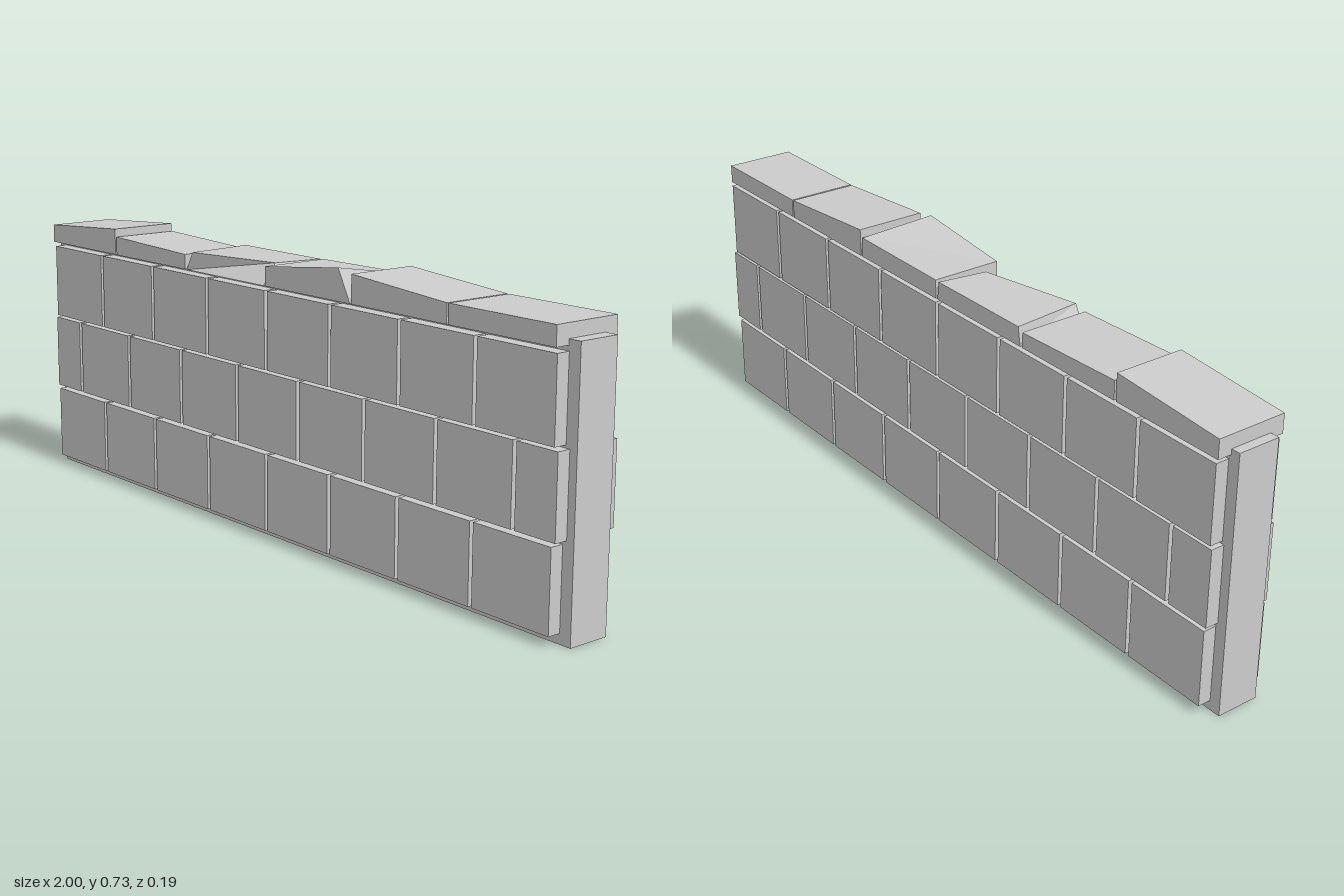
import * as THREE from 'three';

const material = new THREE.MeshStandardMaterial({ color: 0xcccccc, flatShading: true });

function addBox(parent, name, x0, x1, y0, y1, depth) {
  const mesh = new THREE.Mesh(new THREE.BoxGeometry(x1 - x0, y1 - y0, depth), material);
  mesh.position.set((x0 + x1) / 2, (y0 + y1) / 2, 0);
  mesh.name = name;
  parent.add(mesh);
}

const CAP_BASE = 0.651, CAP_Z = 0.093;

// A coping block whose four top corners can each be moved.
// Corners are [x, y, z] in the order: front left, front right, back left, back right.
function addCapStone(parent, x0, x1, corners) {
  const g = new THREE.BoxGeometry(2, 2, 2).toNonIndexed();
  const p = g.attributes.position;
  for (let i = 0; i < p.count; i++) {
    const right = p.getX(i) > 0, top = p.getY(i) > 0, front = p.getZ(i) > 0;
    if (top) p.setXYZ(i, ...corners[(front ? 0 : 2) + (right ? 1 : 0)]);
    else p.setXYZ(i, right ? x1 : x0, CAP_BASE, front ? CAP_Z : -CAP_Z);
  }
  g.computeVertexNormals();
  const mesh = new THREE.Mesh(g, material);
  mesh.name = 'capStone';
  parent.add(mesh);
}

// Top corners of a block that only slopes along its length
const slope = (x0, x1, yl, yr) => [
  [x0, yl, CAP_Z], [x1, yr, CAP_Z], [x0, yl, -CAP_Z], [x1, yr, -CAP_Z],
];

export function createModel() {
  const wall = new THREE.Group();
  wall.name = 'stoneWall';

  // Mortar core
  addBox(wall, 'mortarCore', -1, 1, 0, 0.665, 0.112);

  // Three courses of blocks; the middle one is offset with half blocks at its ends
  const courses = new THREE.Group();
  courses.name = 'blockCourses';
  wall.add(courses);
  const pitch = 0.2435, width = 0.233;
  [0.025, 0.234, 0.44].forEach((y, row) => {
    const y1 = y + 0.199;
    if (row === 1) {
      addBox(courses, 'halfBlock', -0.975, -0.856, y, y1, 0.182);
      for (let i = 0; i < 7; i++) {
        const x = -0.845 + i * pitch;
        addBox(courses, 'block', x, x + width, y, y1, 0.182);
      }
      addBox(courses, 'halfBlock', 0.86, 0.979, y, y1, 0.182);
    } else {
      for (let i = 0; i < 8; i++) {
        const x = -0.97 + i * 0.2436;
        addBox(courses, 'block', x, x + width, y, y1, 0.182);
      }
    }
  });

  // Uneven coping along the top
  const coping = new THREE.Group();
  coping.name = 'coping';
  wall.add(coping);
  for (const [x0, x1, yl, yr] of [
    [-0.976, -0.66, 0.7, 0.721],
    [-0.654, -0.335, 0.7, 0.69],
    [0.323, 0.642, 0.722, 0.699],
    [0.647, 0.966, 0.699, 0.699],
  ]) addCapStone(coping, x0, x1, slope(x0, x1, yl, yr));

  // Two chipped blocks in the middle
  addCapStone(coping, -0.328, -0.007, [
    [-0.302, 0.699, CAP_Z], [-0.032, 0.699, 0.035],
    [-0.32, 0.699, -CAP_Z], [-0.012, 0.699, -CAP_Z],
  ]);
  addCapStone(coping, -0.001, 0.319, [
    [0, 0.7, CAP_Z], [0.276, 0.731, CAP_Z],
    [0, 0.7, -CAP_Z], [0.314, 0.703, -CAP_Z],
  ]);

  return wall;
}
